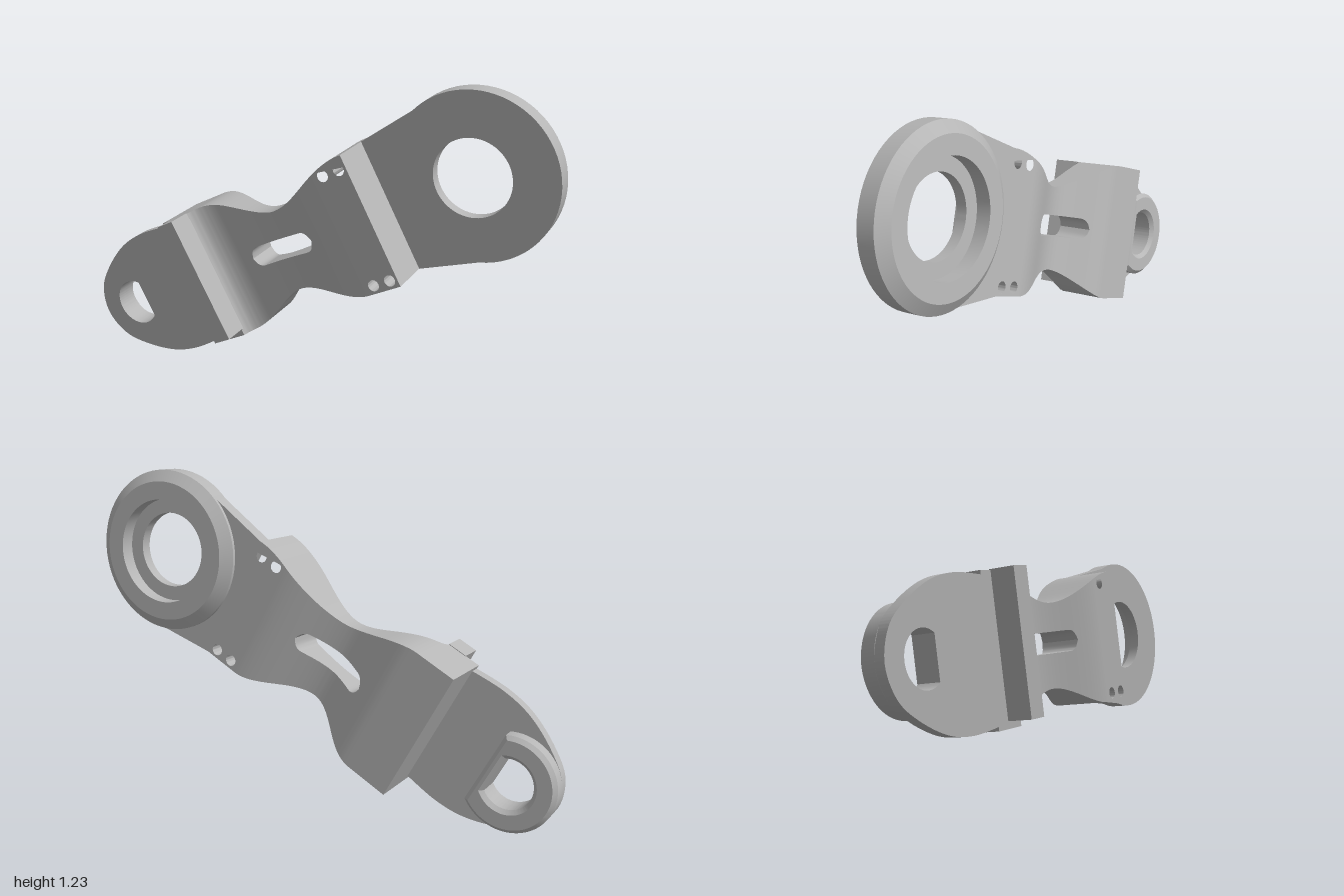
import * as THREE from 'three';
import { toCreasedNormals } from 'three/addons/utils/BufferGeometryUtils.js';

// Local frame: x runs along the arm from ring to boss, y across it, z through its thickness.
const RING_X = -0.824, RING_Y = -0.006, BLOCK_X = -0.465, BEND_X = -0.32;
const FLANGE_X = 0.328, END_X = 0.468, BOSS_X = 0.814;

// Smooth interpolation through [x, value] keys, level at every key
function ease(keys, x) {
  if (x <= keys[0][0]) return keys[0][1];
  for (let i = 1; i < keys.length; i++) {
    const [x0, a] = keys[i - 1], [x1, b] = keys[i];
    if (x <= x1) return a + (b - a) * THREE.MathUtils.smoothstep(x, x0, x1);
  }
  return keys[keys.length - 1][1];
}

const topAt = x => ease([[BEND_X, 0.125], [0, 0.03], [0.27, 0.13], [END_X, 0.13]], x);

// Waisted sides of the strap
function sideAt(x, side) {
  return side > 0
    ? ease([[-0.45, 0.268], [-0.04, 0.155], [0.3, 0.28], [END_X, 0.28]], x)
    : -ease([[BEND_X, 0.27], [0, 0.178], [0.3, 0.28], [END_X, 0.28]], x);
}
function bottomAt(x) {
  if (x < 0.18) return ease([[BEND_X, -0.108], [0.08, -0.045]], x);
  const t = Math.min((x - 0.18) / (FLANGE_X - 0.18), 1);
  return -0.045 - 0.07 * (1 - Math.sqrt(1 - t * t));
}
function slotAt(x) {
  const r = 0.042, d = Math.max(Math.abs(x) - 0.123, 0);
  return d < r ? Math.sqrt(r * r - d * d) : 0;
}

// Waved strap with a slot, lofted as two halves
function strapGeometry() {
  const pos = [], steps = 110;
  for (const side of [1, -1]) {
    const tri = (a, b, c) => pos.push(...a, ...(side > 0 ? b : c), ...(side > 0 ? c : b));
    const section = i => {
      const x = BEND_X + (END_X - BEND_X) * i / steps;
      const s = slotAt(x) * side, h = sideAt(x, side), t = topAt(x), b = bottomAt(x);
      return [[x, s, b], [x, h, b], [x, h, t], [x, s, t]];
    };
    for (let i = 0; i < steps; i++) {
      const p = section(i), q = section(i + 1);
      const open = slotAt(p[0][0]) > 0 || slotAt(q[0][0]) > 0;
      for (let k = 0; k < (open ? 4 : 3); k++) {
        const n = (k + 1) % 4;
        tri(p[k], p[n], q[n]);
        tri(p[k], q[n], q[k]);
      }
    }
    const e = section(steps);
    tri(e[0], e[1], e[2]);
    tri(e[0], e[2], e[3]);
  }
  const g = new THREE.BufferGeometry();
  g.setAttribute('position', new THREE.Float32BufferAttribute(pos, 3));
  return g;
}

function circleHole(x, y, r) {
  const p = new THREE.Path();
  p.absarc(x, y, r, 0, Math.PI * 2, true);
  return p;
}

// Circle cut by a straight flat on the side facing the ring
function dCut(target, r, flat) {
  const a = Math.acos(flat / r);
  target.absarc(BOSS_X, 0, r, -a, a, false);
  target.closePath();
  return target;
}

function extrude(shape, z0, z1, bevel = 0) {
  const g = new THREE.ExtrudeGeometry(shape, {
    depth: z1 - z0 - 2 * bevel, curveSegments: 40, bevelEnabled: bevel > 0,
    bevelThickness: bevel, bevelSize: bevel, bevelOffset: -bevel, bevelSegments: 1
  });
  return g.translate(0, 0, z0 + bevel);
}

export function createModel() {
  const metal = new THREE.MeshStandardMaterial({ color: 0xb6b6b6 });
  metal.name = 'light grey metal';
  const arm = new THREE.Group();
  arm.name = 'bracketArm';
  const add = (name, geometry) => {
    const mesh = new THREE.Mesh(toCreasedNormals(geometry, 0.45), metal);
    mesh.name = name;
    arm.add(mesh);
  };

  add('wavedStrap', strapGeometry());

  // Thick block in two halves, each with a pair of pin holes
  for (const side of [1, -1]) {
    const half = new THREE.Shape();
    half.moveTo(BLOCK_X, 0);
    for (let i = 0; i <= 8; i++) {
      const x = BLOCK_X + (BEND_X - BLOCK_X) * i / 8;
      half.lineTo(x, sideAt(x, side));
    }
    half.lineTo(BEND_X, 0);
    half.closePath();
    const y = side > 0 ? 0.219 : -0.237;
    for (const x of [-0.432, -0.357]) half.holes.push(circleHole(x, y, 0.023));
    add(side > 0 ? 'upperPinBlock' : 'lowerPinBlock', extrude(half, -0.108, 0.125));
  }

  // Web joining the block to the ring
  const web = new THREE.Shape();
  web.moveTo(BLOCK_X, sideAt(BLOCK_X, -1)).lineTo(BLOCK_X, sideAt(BLOCK_X, 1));
  web.absarc(RING_X, RING_Y, 0.323, 1.3, -1.3, false);
  web.closePath();
  web.holes.push(circleHole(RING_X, RING_Y, 0.24));
  add('ringWeb', extrude(web, 0.066, 0.125));

  // Chamfered ring with a counterbore
  const profile = [[0.152, 0.066], [0.327, 0.066], [0.327, 0.138], [0.282, 0.169],
    [0.21, 0.169], [0.21, 0.11], [0.152, 0.11], [0.152, 0.066]].map(p => new THREE.Vector2(...p));
  add('bearingRing', new THREE.LatheGeometry(profile, 72).rotateX(Math.PI / 2).translate(RING_X, RING_Y, 0));

  // Thin end plate with bulging sides
  const plate = new THREE.Shape();
  plate.moveTo(FLANGE_X, -0.255);
  plate.lineTo(0.46, -0.264);
  plate.splineThru([[0.61, -0.274], [0.74, -0.254], [0.87, -0.193], [0.965, -0.115], [1.004, 0],
    [0.965, 0.115], [0.87, 0.193], [0.74, 0.254], [0.61, 0.274], [0.46, 0.264]].map(p => new THREE.Vector2(...p)));
  plate.lineTo(FLANGE_X, 0.255);
  plate.closePath();
  plate.holes.push(dCut(new THREE.Path(), 0.1, -0.06));
  add('endPlate', extrude(plate, -0.115, -0.07));

  // Boss with a flat side and a matching keyed hole
  const boss = dCut(new THREE.Shape(), 0.19, -0.105);
  boss.holes.push(dCut(new THREE.Path(), 0.1, -0.06));
  add('keyedBoss', extrude(boss, -0.09, -0.005, 0.016));

  // Cross flange under the strap
  add('crossFlange', new THREE.BoxGeometry(0.08, 0.535, 0.104).translate(FLANGE_X + 0.04, 0.015, -0.162));

  // Tilt the arm into place
  const w = new THREE.Vector3(0.98, 0.138, -0.14).normalize();
  const u = new THREE.Vector3(-0.072, -0.413, -0.91);
  u.addScaledVector(w, -u.dot(w)).normalize();
  const v = new THREE.Vector3().crossVectors(w, u);
  arm.quaternion.setFromRotationMatrix(new THREE.Matrix4().makeBasis(u, v, w));

  const model = new THREE.Group();
  model.name = 'bracket';
  model.add(arm);

  // Stand on the ground, centred
  model.updateMatrixWorld(true);
  const box = new THREE.Box3().setFromObject(model, true);
  const c = box.getCenter(new THREE.Vector3());
  arm.position.set(-c.x, -box.min.y, -c.z);
  return model;
}
